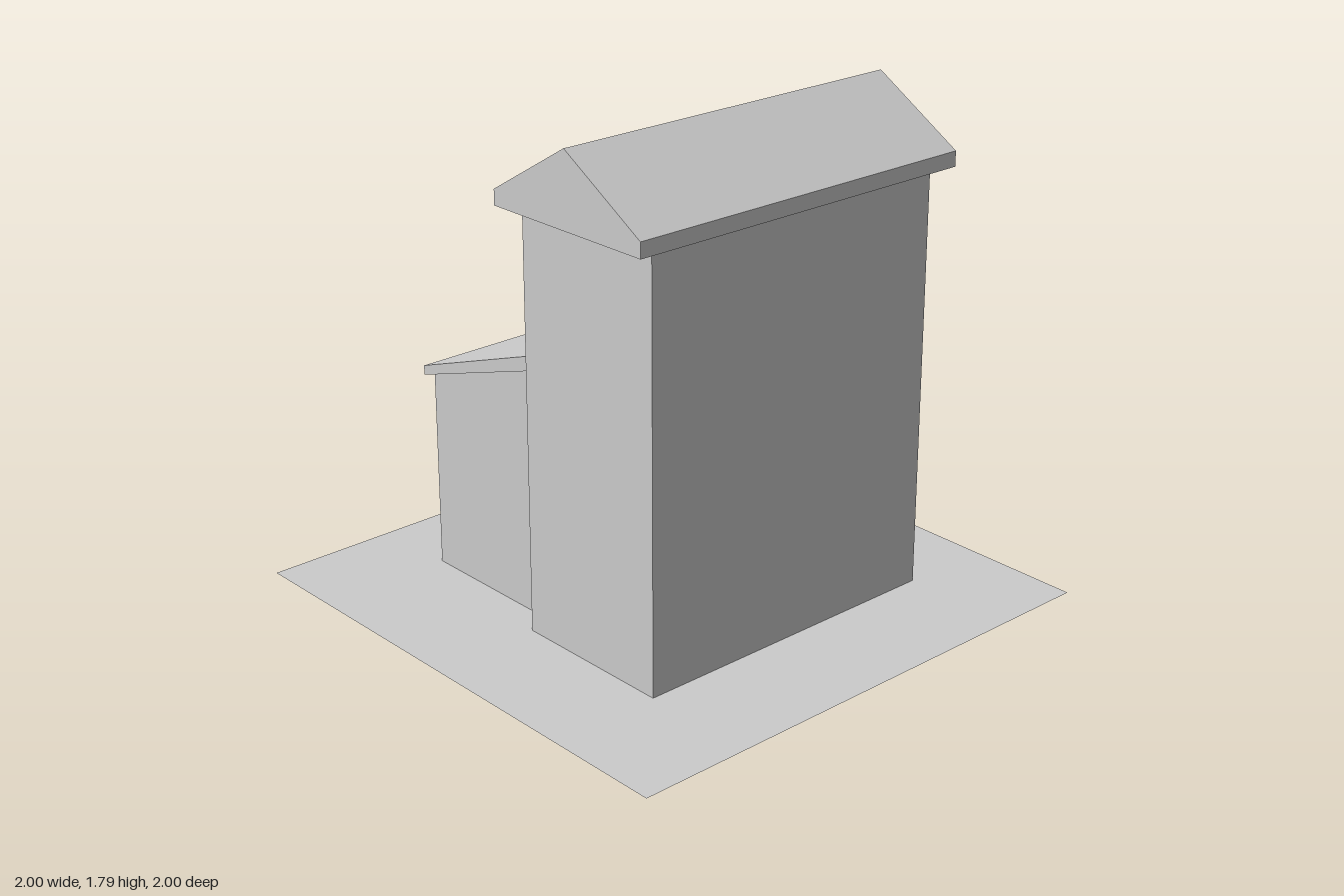
import * as THREE from 'three';

const material = new THREE.MeshStandardMaterial({ color: 0xcccccc, flatShading: true, side: THREE.DoubleSide });

// Skin a series of equal-length point rows with flat quads
function loft(name, rows) {
  const pos = [];
  for (let r = 0; r < rows.length - 1; r++) {
    for (let i = 0; i < rows[r].length - 1; i++) {
      const a = rows[r][i], b = rows[r][i + 1], c = rows[r + 1][i + 1], d = rows[r + 1][i];
      pos.push(...a, ...b, ...c, ...a, ...c, ...d);
    }
  }
  const geometry = new THREE.BufferGeometry();
  geometry.setAttribute('position', new THREE.Float32BufferAttribute(pos, 3));
  geometry.computeVertexNormals();
  const mesh = new THREE.Mesh(geometry, material);
  mesh.name = name;
  return mesh;
}

function flat(name, outline, hole) {
  const shape = new THREE.Shape(outline.map(([x, y]) => new THREE.Vector2(x, y)));
  if (hole) shape.holes.push(new THREE.Path(hole.map(([x, y]) => new THREE.Vector2(x, y))));
  const mesh = new THREE.Mesh(new THREE.ShapeGeometry(shape), material);
  mesh.name = name;
  return mesh;
}

// Three-sided row: +x front, +x back, -x back, -x front
const row = (x0, x1, zf, zb, yf, yb = yf) => [[x1, yf, zf], [x1, yb, zb], [x0, yb, zb], [x0, yf, zf]];
const closed = (points) => [...points, points[0]];

export function createModel() {
  const group = new THREE.Group();

  const L = -0.59, R = 0.65, F = 0.57, B = -0.05; // tower footprint
  const aL = -0.5, aR = 0.32, aB = -0.68;         // annex footprint
  const eave = 1.53;

  // Ground sheet, open beneath the building
  const ground = flat('ground',
    [[-1, -1], [0.985, -1], [1, 1], [-1, 1]],
    [[L, -F], [L, -B], [aL, -B], [aL, -aB], [aR, -aB], [aR, -B], [R, -B], [R, -F]]);
  ground.rotation.x = -Math.PI / 2;
  group.add(ground);

  // Tower: front and side walls
  const frontWalls = (y) => [[L, y, B], [L, y, F], [R, y, F], [R, y, B]];
  group.add(loft('towerWalls', [frontWalls(0), frontWalls(eave)]));

  // Tower back wall, cut open where the annex joins (drawn mirrored, then turned to face -z)
  const backWall = flat('towerBackWall', [
    [-R, 0], [-aR, 0], [-aR, 0.94], [-aL, 0.94], [-aL, 0], [-L, 0], [-L, eave], [-R, eave],
  ]);
  backWall.rotation.y = Math.PI;
  backWall.position.z = B;
  group.add(backWall);

  // Tower roof: soffit, fascia and gable
  group.add(loft('towerRoof', [
    row(L, R, F, B, eave),
    row(-0.67, 0.73, 0.61, -0.09, eave),
    row(-0.67, 0.73, 0.61, -0.09, 1.585),
    row(-0.67, 0.73, 0.26, 0.26, 1.795),
  ].map(closed)));

  // Annex walls rising to the sloping roof
  const wallTop = row(aL, aR, B, aB, 0.94, 0.736);
  group.add(loft('annexWalls', [row(aL, aR, B, aB, 0), wallTop]));

  // Annex lean-to roof: soffit and edge, then the slope
  const [a, b, c, d] = row(-0.53, 0.35, B, -0.7, 0.995, 0.765);
  group.add(loft('annexRoofEdge', [wallTop, row(-0.53, 0.35, B, -0.7, 0.94, 0.73), [a, b, c, d]]));
  group.add(loft('annexRoofSlope', [[d, a], [c, b]]));

  return group;
}
